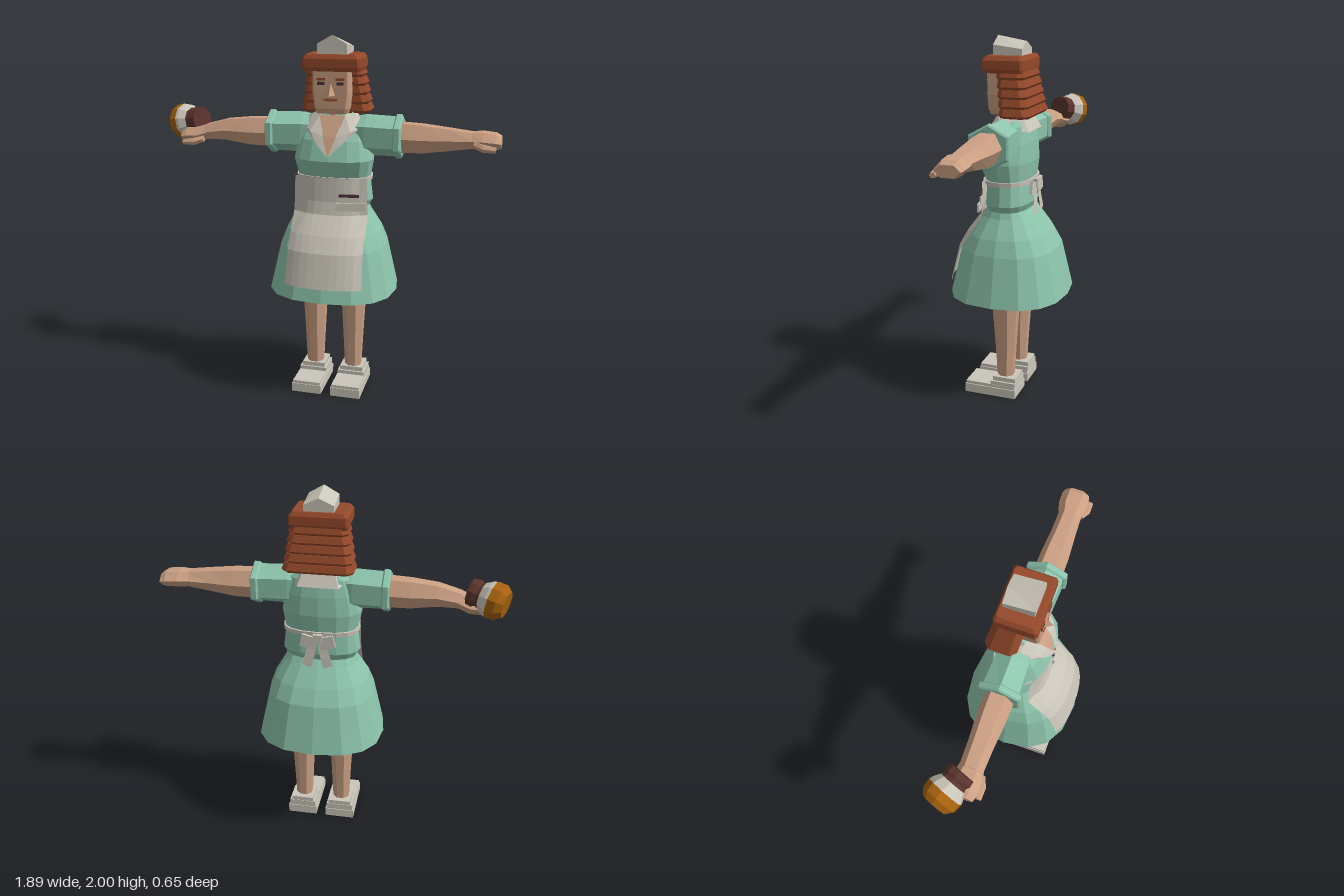
import * as THREE from 'three';

const mat = (name, color, double) => {
  const m = new THREE.MeshStandardMaterial({ color });
  m.name = name;
  if (double) m.side = THREE.DoubleSide;
  return m;
};

// Faceted skin through closed rings; rings run counter-clockwise seen from the far end.
function loft(rings, caps = true) {
  const pos = [], n = rings[0].length;
  const tri = (...p) => p.forEach(q => pos.push(...q));
  const mid = r => [0, 1, 2].map(k => r.reduce((s, p) => s + p[k], 0) / n);
  const first = rings[0], last = rings[rings.length - 1];
  for (let j = 0; j < n; j++) {
    const k = (j + 1) % n;
    for (let i = 0; i < rings.length - 1; i++) {
      const a = rings[i], b = rings[i + 1];
      tri(a[j], a[k], b[k], a[j], b[k], b[j]);
    }
    if (caps) {
      tri(mid(last), last[j], last[k]);
      tri(mid(first), first[k], first[j]);
    }
  }
  return toGeometry(pos);
}

// Open sheet through rows of points.
function sheet(rows) {
  const pos = [];
  for (let i = 0; i < rows.length - 1; i++) {
    for (let j = 0; j < rows[i].length - 1; j++) {
      const a = rows[i][j], b = rows[i][j + 1], c = rows[i + 1][j + 1], d = rows[i + 1][j];
      for (const p of [a, b, c, a, c, d]) pos.push(...p);
    }
  }
  return toGeometry(pos);
}

function toGeometry(pos) {
  const g = new THREE.BufferGeometry();
  g.setAttribute('position', new THREE.Float32BufferAttribute(pos, 3));
  g.computeVertexNormals();
  return g;
}

// Ring builders: rounded-square around y, ellipse around x, chamfered rectangle around y.
const E = 2.5;
const round = (y, rx, rz, cz = 0, n = 16, e = E, phase = 0) => Array.from({ length: n }, (_, i) => {
  const t = (i / n) * Math.PI * 2 + phase, s = Math.sin(t), c = Math.cos(t);
  const f = v => Math.sign(v) * Math.abs(v) ** (2 / e);
  return [rx * f(s), y, cz + rz * f(c)];
});
const alongX = (x, cy, ry, rz, cz = 0, phase = 0) => Array.from({ length: 6 }, (_, i) => {
  const t = (i / 6) * Math.PI * 2 + phase;
  return [x, cy + ry * Math.cos(t), cz + rz * Math.sin(t)];
});
const rect = (y, h, z0, z1, c = 0.001) => [
  [-h + c, y, z1], [h - c, y, z1], [h, y, z1 - c], [h, y, z0 + c],
  [h - c, y, z0], [-h + c, y, z0], [-h, y, z0 + c], [-h, y, z1 - c]];

// y, half width, half depth, depth centre
const SKIRT = [[0.6, 0.357, 0.325], [0.865, 0.297, 0.263], [0.95, 0.265, 0.215], [1.05, 0.207, 0.14], [1.085, 0.195, 0.115]];
const TORSO = [[1.05, 0.185, 0.1, 0], [1.085, 0.195, 0.108, 0], [1.12, 0.215, 0.125, 0], [1.24, 0.2, 0.118, 0],
  [1.345, 0.22, 0.147, 0.017], [1.45, 0.2, 0.127, 0.002], [1.54, 0.17, 0.09, -0.02], [1.585, 0.1, 0.06, -0.025]];

export function createModel() {
  const teal = mat('dress teal', 0x8cc3ab, true), cloth = mat('apron off-white', 0xcbc6ba, true);
  const skin = mat('skin', 0xcca083, true), hair = mat('hair auburn', 0x95492a), amber = mat('coffee amber', 0xa8620e);
  const brown = mat('pot brown', 0x5a342c), dark = mat('dark detail', 0x493038), lip = mat('lips', 0xa55a38);
  const model = new THREE.Group();
  const body = new THREE.Group();
  body.name = 'waitress';
  body.position.x = 0.045;
  model.add(body);
  const add = (name, geo, m, parent = body) => {
    const mesh = new THREE.Mesh(geo, m);
    mesh.name = name;
    parent.add(mesh);
    return mesh;
  };
  const box = (name, m, w, h, d, x, y, z, parent) => {
    const b = add(name, new THREE.BoxGeometry(w, h, d), m, parent);
    b.position.set(x, y, z);
    return b;
  };

  // Dress
  add('skirt', loft(SKIRT.map(([y, a, b]) => round(y, a, b)), false), teal);
  add('bodice', loft(TORSO.map(([y, a, b, c]) => round(y, a, b, c))), teal);

  // Neckline and collar
  add('chestSkin', sheet([
    [[-0.07, 1.58, 0.07], [0, 1.58, 0.07], [0.07, 1.58, 0.07]],
    [[-0.036, 1.475, 0.13], [0, 1.475, 0.13], [0.036, 1.475, 0.13]],
    [[0, 1.37, 0.172], [0, 1.37, 0.172], [0, 1.37, 0.172]]]), skin);
  for (const s of [-1, 1]) {
    add('collarFlap', sheet([
      [[s * 0.065, 1.59, 0.055], [s * 0.035, 1.475, 0.137], [0, 1.37, 0.18]],
      [[s * 0.12, 1.585, 0.02], [s * 0.11, 1.5, 0.118], [s * 0.06, 1.43, 0.155]],
      [[s * 0.17, 1.54, 0.01], [s * 0.15, 1.515, 0.07], [s * 0.085, 1.455, 0.14]]]), cloth);
  }
  add('backCollar', sheet([
    [[-0.1, 1.595, 0.04], [-0.08, 1.6, -0.08], [0.08, 1.6, -0.08], [0.1, 1.595, 0.04]],
    [[-0.175, 1.54, 0.01], [-0.11, 1.51, -0.128], [0.11, 1.51, -0.128], [0.175, 1.54, 0.01]]]), cloth);

  // Apron draped over the skirt
  const apronRows = [[0.68, 0.338, 0.306, 0.215], ...SKIRT.slice(1, 4).map(r => [...r, 0.208]),
    [1.12, 0.215, 0.125, 0.203], [1.25, 0.21, 0.12, 0.2]];
  add('apron', sheet(apronRows.map(([y, rx, rz, w]) => Array.from({ length: 11 }, (_, i) => {
    const x = w * (i / 5 - 1), k = Math.min(1, Math.abs(x / rx));
    return [x, y, Math.max(rz * (1 - k ** E) ** (1 / E) + 0.018, 0.1)];
  })), ), cloth);
  add('waistband', loft([round(1.228, 0.21, 0.128), round(1.252, 0.212, 0.13)]), cloth);
  box('pocket', cloth, 0.16, 0.045, 0.012, 0.12, 1.1, 0.142).rotation.y = 0.2;
  box('notepad', cloth, 0.11, 0.05, 0.01, 0.11, 1.135, 0.138).rotation.y = 0.2;
  box('notepadEdge', dark, 0.11, 0.014, 0.012, 0.11, 1.16, 0.14).rotation.y = 0.2;

  // Apron bow
  box('bowKnot', cloth, 0.05, 0.05, 0.03, 0, 1.22, -0.135);
  for (const s of [-1, 1]) {
    box('bowLoop', cloth, 0.085, 0.07, 0.016, s * 0.05, 1.2, -0.136).rotation.z = s * 0.25;
    add('bowTail', sheet([
      [[0, 1.22, -0.138], [s * 0.04, 1.22, -0.138]],
      [[s * 0.015, 1.12, -0.148], [s * 0.07, 1.12, -0.146]],
      [[s * 0.035, 1.05, -0.152], [s * 0.085, 1.07, -0.15]]]), cloth);
  }

  // Arms with sleeves; the right hand sits lower to grip the pot
  for (const s of [1, -1]) {
    const arm = new THREE.Group();
    arm.name = s > 0 ? 'leftArm' : 'rightArm';
    arm.scale.x = s;
    body.add(arm);
    const dy = s > 0 ? 0 : -0.04, p = Math.PI / 6, q = 1.1;
    add('sleeve', loft([alongX(0.08, 1.48, 0.085, 0.08), alongX(0.175, 1.472, 0.112, 0.1), alongX(0.345, 1.47, 0.108, 0.108)]), teal, arm);
    add('cuff', loft([alongX(0.33, 1.47, 0.11, 0.112), alongX(0.338, 1.47, 0.12, 0.125),
      alongX(0.365, 1.47, 0.12, 0.125), alongX(0.372, 1.47, 0.11, 0.112)]), teal, arm);
    add('forearm', loft([alongX(0.34, 1.468, 0.09, 0.078, 0, p), alongX(0.48, 1.466, 0.085, 0.076, 0, p),
      alongX(0.62, 1.468, 0.06 * q, 0.066, 0, p), alongX(0.75, 1.47 + dy / 2, 0.046, 0.062, -0.003, p)]), skin, arm);
    add('hand', loft([alongX(0.73, 1.47 + dy / 2, 0.046, 0.062, -0.003, p), alongX(0.79, 1.472 + dy, 0.05, 0.076, -0.008, p),
      alongX(0.86, 1.468 + dy, 0.046, 0.076, -0.01, p), alongX(0.889, 1.462 + dy, 0.034, 0.066, -0.01, p)]), skin, arm);
    add('thumb', loft([alongX(0.75, 1.455 + dy, 0.02, 0.02, 0.05, p), alongX(0.8, 1.44 + dy, 0.022, 0.022, 0.07, p),
      alongX(0.865, 1.435 + dy, 0.015, 0.016, 0.074, p)]), skin, arm);
  }

  // Legs and shoes
  for (const s of [-1, 1]) {
    const leg = new THREE.Group();
    leg.name = s > 0 ? 'leftLeg' : 'rightLeg';
    leg.position.x = s * 0.113;
    body.add(leg);
    const oct = (y, r, d) => round(y, r / 0.924, d / 0.924, 0, 8, 2, Math.PI / 8);
    add('leg', loft([oct(0.09, 0.045, 0.044), oct(0.3, 0.054, 0.056), oct(0.6, 0.068, 0.077), oct(0.8, 0.075, 0.08)]), skin, leg);
    box('shoeSole', cloth, 0.17, 0.05, 0.3, 0, 0.025, 0.07, leg);
    box('shoeToe', cloth, 0.158, 0.02, 0.292, 0, 0.057, 0.07, leg);
    box('shoeUpper', cloth, 0.155, 0.025, 0.145, 0, 0.075, -0.006, leg);
    box('shoeCollar', cloth, 0.13, 0.036, 0.132, 0, 0.094, -0.01, leg);
  }

  // Head and face
  add('neck', loft([round(1.48, 0.06, 0.055, -0.01, 8, 2), round(1.64, 0.055, 0.055, -0.01, 8, 2)]), skin);
  add('head', loft([rect(1.592, 0.08, -0.07, 0.098, 0.012), rect(1.62, 0.09, -0.08, 0.108, 0.012),
    rect(1.7, 0.1, -0.08, 0.11, 0.012), rect(1.85, 0.1, -0.08, 0.11, 0.012)]), skin);
  add('nose', loft([[[-0.027, 1.69, 0.106], [0, 1.69, 0.15], [0.027, 1.69, 0.106]],
    [[-0.005, 1.75, 0.106], [0, 1.75, 0.113], [0.005, 1.75, 0.106]]]), skin);
  box('lips', lip, 0.075, 0.014, 0.008, 0, 1.668, 0.111);
  for (const s of [-1, 1]) {
    box('brow', hair, 0.046, 0.012, 0.009, s * 0.052, 1.775, 0.111);
    box('eye', dark, 0.038, 0.016, 0.008, s * 0.052, 1.753, 0.111);
  }

  // Hair: cap with fringe over stacked, flaring waves
  add('hairCap', loft([rect(1.815, 0.15, -0.1, 0.112, 0.012), rect(1.835, 0.156, -0.104, 0.117, 0.012),
    rect(1.88, 0.154, -0.104, 0.117, 0.012), rect(1.902, 0.138, -0.092, 0.104, 0.012)]), hair);
  for (let i = 0; i < 5; i++) {
    const y = 1.782 - i * 0.0485, w = 0.155 + i * 0.008, back = -0.11 - i * 0.009, front = 0.045 - i * 0.006;
    add('hairWave', loft([rect(y - 0.0, w - 0.006, back + 0.008, front - 0.006, 0.03), rect(y + 0.014, w + 0.004, back - 0.002, front, 0.03),
      rect(y + 0.049, w - 0.01, back + 0.01, front - 0.004, 0.03)]), hair);
  }

  // Folded cap with a ridge that drops toward the back
  const hatRing = (z, peak, eave) => [[-0.08, 1.89, z], [0.08, 1.89, z], [0.08, eave, z], [0, peak, z], [-0.08, eave, z]];
  add('hat', loft([hatRing(-0.08, 1.972, 1.935), hatRing(0.08, 2, 1.955)]), cloth);

  // Coffee pot
  const pot = new THREE.Group();
  pot.name = 'coffeePot';
  pot.position.set(-0.922, 1.477, -0.1);
  pot.quaternion.setFromUnitVectors(new THREE.Vector3(0, 1, 0), new THREE.Vector3(0.19, 0.035, 0.075).normalize());
  model.add(pot);
  const turn = list => loft(list.map(([y, r]) => round(y, r, r, 0, 10, 2)));
  add('potBase', turn([[-0.005, 0.07], [0.03, 0.098], [0.075, 0.1]]), amber, pot);
  add('potBand', turn([[0.074, 0.1], [0.09, 0.096], [0.13, 0.072]]), cloth, pot);
  add('potNeck', turn([[0.128, 0.073], [0.145, 0.066], [0.165, 0.076], [0.195, 0.072]]), brown, pot);
  box('potHandle', brown, 0.05, 0.03, 0.03, -0.755, 1.415, 0, model);
  return model;
}
